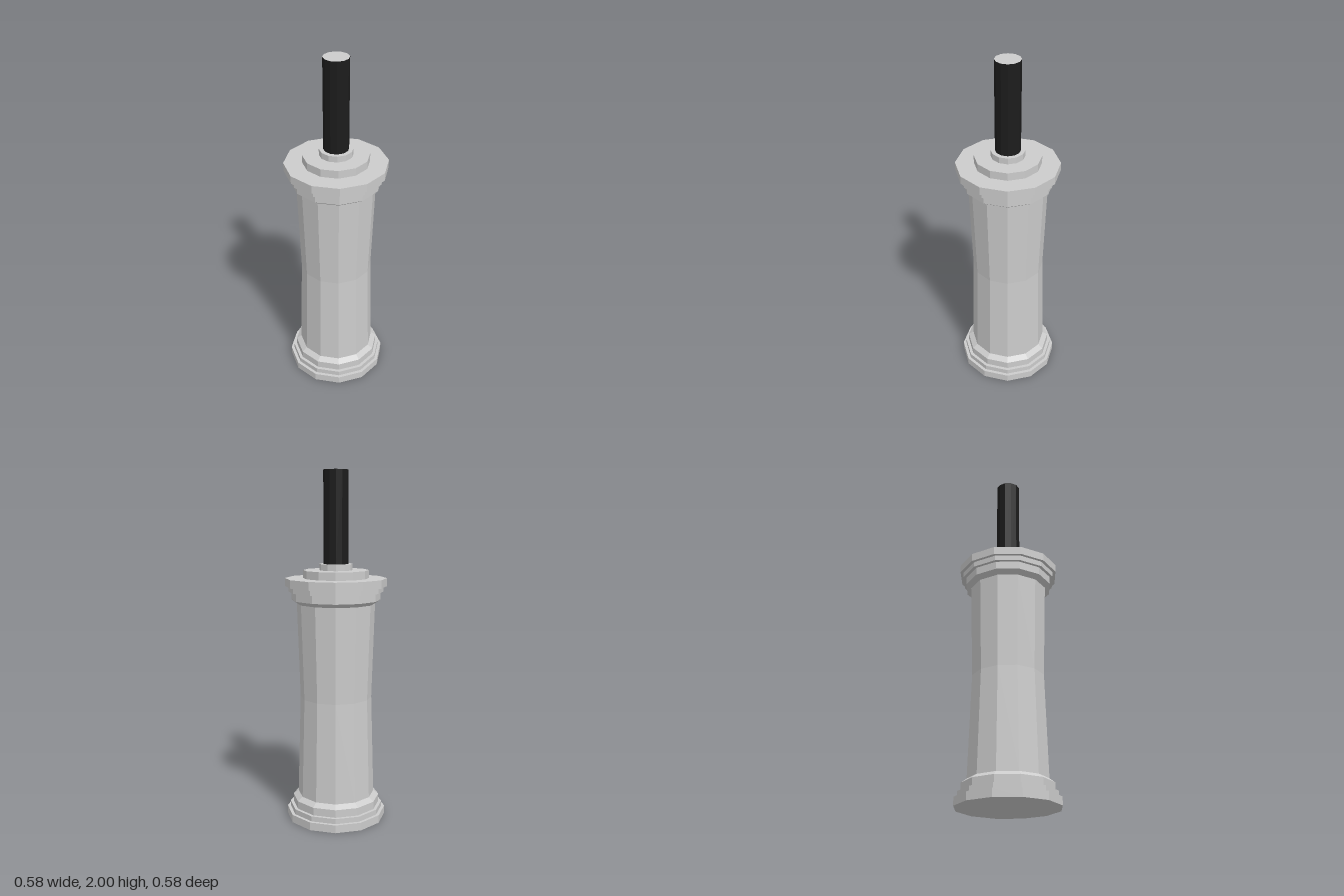
import * as THREE from 'three';

const SIDES = 12;

export function createModel() {
  const group = new THREE.Group();
  const grey = new THREE.MeshStandardMaterial({ color: 0xcccccc, flatShading: true });
  const black = new THREE.MeshStandardMaterial({ color: 0x1c1c1c, flatShading: true });

  // Faceted turned part from [radius, height] pairs, bottom to top
  function turned(name, profile) {
    const points = profile.map(([r, y]) => new THREE.Vector2(r, y));
    const mesh = new THREE.Mesh(new THREE.LatheGeometry(points, SIDES), grey);
    mesh.name = name;
    group.add(mesh);
  }

  // Upright twelve-sided cylinder between two heights
  function disc(name, radius, y0, y1, material) {
    const mesh = new THREE.Mesh(new THREE.CylinderGeometry(radius, radius, y1 - y0, SIDES), material);
    mesh.position.y = (y0 + y1) / 2;
    mesh.name = name;
    group.add(mesh);
  }

  // Stepped moulding, used upright as the base and mirrored as the capital
  const height = 1.405;
  const moulding = [
    [0, 0], [0.288, 0], [0.288, 0.046], [0.27, 0.046], [0.27, 0.076],
    [0.252, 0.076], [0.252, 0.121], [0.222, 0.143],
  ];
  const capital = moulding.map(([r, y]) => [r, height - y]).reverse();
  turned('base', moulding);
  turned('shaft', [[0.222, 0.143], [0.205, 0.72], [0.222, height - 0.143]]);
  turned('capital', capital);

  // Stacked collars on top
  disc('topPlate', 0.185, height, 1.45, grey);
  disc('rodCollar', 0.094, 1.45, 1.485, grey);

  // Black rod with a grey end face
  disc('rod', 0.07, 1.485, 2, [black, grey, black]);

  return group;
}
